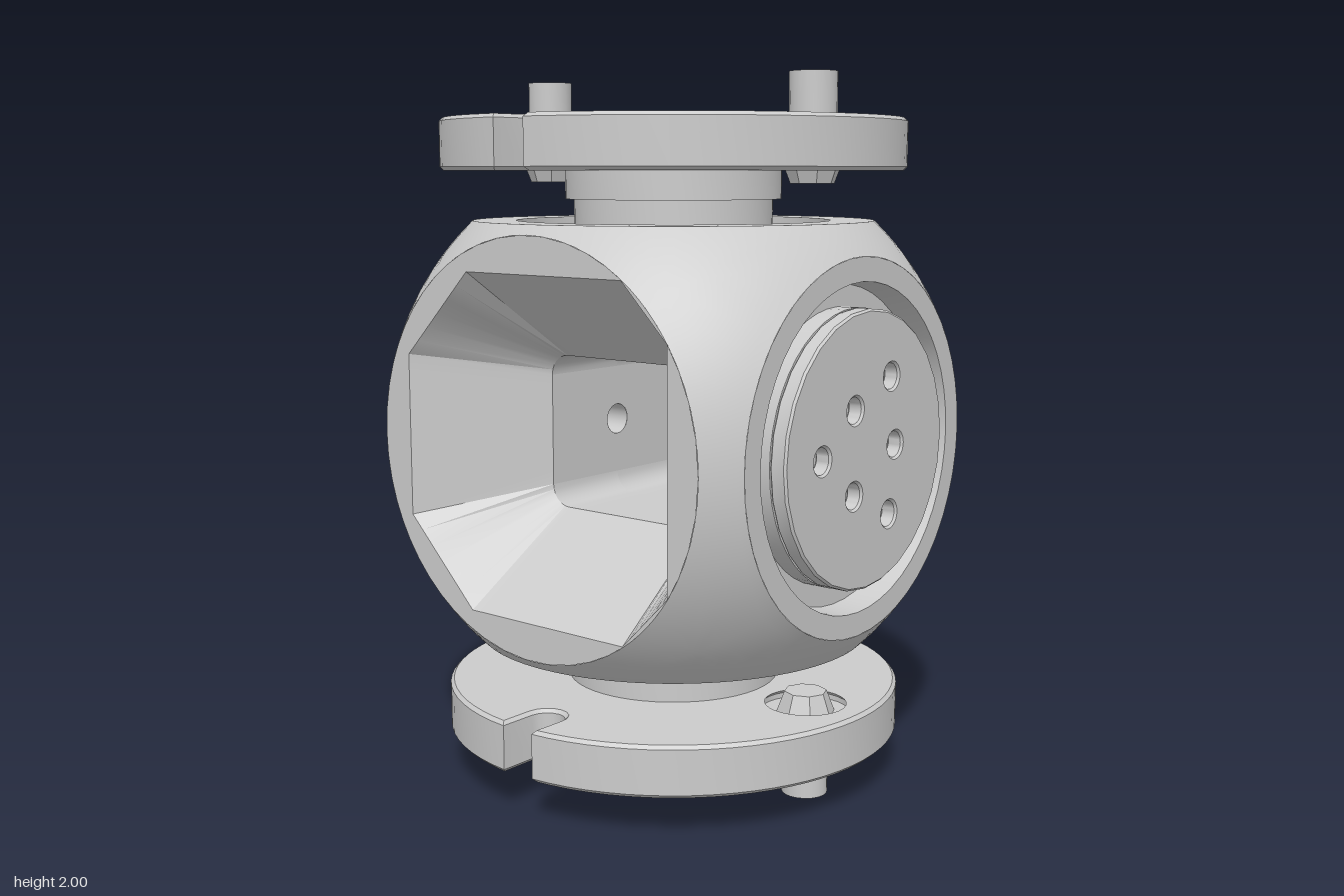
import * as THREE from 'three';
import { mergeGeometries, toCreasedNormals } from 'three/addons/utils/BufferGeometryUtils.js';

const R = 0.83; // radius of the ball the body is cut from
const material = new THREE.MeshStandardMaterial({ color: 0xcccccc, side: THREE.DoubleSide });
const V = (x, y, z) => new THREE.Vector3(x, y, z);
const capRadius = h => Math.sqrt(R * R - h * h);

// Rotations taking a local "up = y" frame to each of the six faces
const face = (x, y, z) => new THREE.Matrix4().makeBasis(x, y, z);
const FACES = {
  top: face(V(1, 0, 0), V(0, 1, 0), V(0, 0, 1)),
  bottom: face(V(1, 0, 0), V(0, -1, 0), V(0, 0, -1)),
  left: face(V(0, 0, 1), V(1, 0, 0), V(0, 1, 0)),
  right: face(V(0, 0, 1), V(-1, 0, 0), V(0, -1, 0)),
  front: face(V(1, 0, 0), V(0, 0, 1), V(0, -1, 0)),
  back: face(V(1, 0, 0), V(0, 0, -1), V(0, 1, 0)),
};
const HEIGHT = { top: 0.6, bottom: 0.6, left: 0.65, right: 0.65, front: 0.6, back: 0.6 };

// Screw hole pattern: u, v, radius
const HOLES = [
  [-0.11, -0.19, 0.095], [-0.11, 0.19, 0.095], [0.215, 0, 0.095],
  [0.065, -0.115, 0.065], [0.065, 0.115, 0.065], [-0.135, 0, 0.065],
];

function add(parent, name, geometry, x = 0, y = 0, z = 0) {
  const mesh = new THREE.Mesh(geometry, material);
  mesh.name = name;
  mesh.position.set(x, y, z);
  parent.add(mesh);
  return mesh;
}

// Surface through closed rings of equal point count
function loft(rings, skip = () => false) {
  const n = rings[0].length, index = [];
  for (let i = 0; i < rings.length - 1; i++)
    for (let j = 0; j < n; j++) {
      if (skip(i, j)) continue;
      const a = i * n + j, b = i * n + (j + 1) % n;
      index.push(a, b, a + n, b, b + n, a + n);
    }
  const geometry = new THREE.BufferGeometry().setFromPoints(rings.flat());
  geometry.setIndex(index);
  return geometry;
}

const lathe = (points, segments = 48) => toCreasedNormals(
  new THREE.LatheGeometry(points.map(p => new THREE.Vector2(...p)), segments), 0.6);

function circlePath(u, v, r) {
  return new THREE.Path().absarc(u, v, r, 0, Math.PI * 2, true);
}

// Flat plate between two heights, with holes
function plate(shape, holes, y0, y1, bevel) {
  shape.holes = holes.map(h => circlePath(...h));
  const geometry = new THREE.ExtrudeGeometry(shape, {
    depth: y1 - y0 - 2 * bevel, bevelEnabled: true, bevelThickness: bevel,
    bevelSize: bevel, bevelOffset: -bevel, bevelSegments: 1, curveSegments: 14,
  });
  geometry.translate(0, 0, y0 + bevel).rotateX(-Math.PI / 2);
  return toCreasedNormals(geometry, 0.6);
}

// Ball surface around one flat cap, out to the edge of its cube face
function ballPatch(h) {
  const rc = capRadius(h), rings = [];
  for (let i = 0; i <= 5; i++) {
    const ring = [];
    for (let j = 0; j < 64; j++) {
      const a = j / 64 * Math.PI * 2, c = Math.cos(a), s = Math.sin(a);
      const m = Math.max(Math.abs(c), Math.abs(s));
      const inner = V(rc * c, h, rc * s).normalize();
      const outer = V(c / m, 1, s / m).normalize();
      ring.push(inner.lerp(outer, i / 5).setLength(R));
    }
    rings.push(ring);
  }
  return loft(rings);
}

// Rectangle outline with rounded or chamfered corners
const K = 6, M = 8;
function outline(x0, x1, h, cutLeft, cutRight, round, y) {
  const corners = [0, 1, 2, 3].map(q => {
    const right = q === 0 || q === 3, c = right ? cutRight : cutLeft;
    const cx = right ? x1 - c : x0 + c, cz = (q < 2 ? 1 : -1) * (h - c);
    const at = t => V(cx + c * Math.cos((q + t) * Math.PI / 2), y, cz + c * Math.sin((q + t) * Math.PI / 2));
    return Array.from({ length: K + 1 }, (_, k) => round ? at(k / K) : at(0).lerp(at(1), k / K));
  });
  return corners.flatMap((points, q) => {
    const next = corners[(q + 1) % 4][0];
    const side = Array.from({ length: M - 1 }, (_, k) => points[K].clone().lerp(next, (k + 1) / M));
    return [...points, ...side];
  });
}

// Half of the through window: tunnel, funnel and flat rim
function windowHalf() {
  const mouth = outline(-0.47, 0.475, 0.47, 0.24, 0.15, false, 0.6);
  const rim = mouth.map(p => V(p.x, 0, p.z).setLength(capRadius(0.6)).setY(0.6));
  const throat = y => outline(-0.22, 0.38, 0.22, 0.06, 0.06, true, y);
  const perCorner = K + M;
  const sideWall = (i, j) => i === 0 && j % perCorner >= K && Math.floor(j / perCorner) % 2 === 1;
  return toCreasedNormals(loft([throat(0), throat(0.28), mouth, rim], sideWall), 0.5);
}

// Round plate with a slot in its rim
function notchedDisc(radius, sign) {
  const half = 0.053, a = Math.asin(half / radius), points = [];
  for (let i = 0; i <= 72; i++) {
    const t = -Math.PI / 2 + a + i / 72 * (Math.PI * 2 - 2 * a);
    points.push(new THREE.Vector2(radius * Math.cos(t), sign * radius * Math.sin(t)));
  }
  for (let i = 0; i <= 8; i++) {
    const t = Math.PI - i / 8 * Math.PI;
    points.push(new THREE.Vector2(half * Math.cos(t), sign * (-0.55 + half * Math.sin(t))));
  }
  return new THREE.Shape(points);
}

// Neck, flange, screws and pins of the top or bottom end
function flangeEnd(sign) {
  const g = new THREE.Group();
  add(g, 'neck', lathe([[capRadius(0.6), 0.6], [0.45, 0.6], [0.45, 0.53], [0.285, 0.53],
    [0.285, 0.66], [0.31, 0.66], [0.31, 0.745], [0, 0.745]]));
  const pins = [-0.485, 0.482];
  const holes = [...HOLES, [0, 0, 0.05], ...pins.map(x => [x, 0, 0.125])];
  add(g, 'flange', plate(notchedDisc(0.663, sign), holes, 0.74, 0.885, 0.01));
  for (const [u, v, r] of HOLES)
    add(g, 'socketScrew', lathe([[r * 0.85, 0], [r * 0.85, 0.045], [r * 0.55, 0.045],
      [r * 0.5, 0.015], [0, 0.005]], 6), u, 0.745, v);
  for (const x of pins) {
    add(g, 'pinSeat', new THREE.CylinderGeometry(0.126, 0.126, 0.1, 24), x, 0.815, 0);
    add(g, 'pin', lathe([[0.065, 0.75], [0.065, 1], [0.033, 1], [0.033, 0.93], [0, 0.92]], 20), x);
    add(g, 'pinHead', toCreasedNormals(new THREE.CylinderGeometry(0.085, 0.06, 0.065, 8), 0.5), x, 0.738, 0);
  }
  return g;
}

// Round port on the left or right side
function sidePort(profile, radius, top, extraHoles) {
  const g = new THREE.Group();
  add(g, 'portSeat', lathe([[capRadius(0.65), 0.65], ...profile]));
  const shape = new THREE.Shape().absarc(0, 0, radius, 0, Math.PI * 2);
  const holes = HOLES.map(([u, v]) => [u, v, 0.036]);
  add(g, 'portDisc', plate(shape, [...holes, ...extraHoles], top - 0.05, top, 0.006));
  return g;
}

// Inner tunnel wall with a cable hole and its passage
function tunnelWall(parent, x, end) {
  const shape = new THREE.Shape([[-0.28, -0.16], [0.28, -0.16], [0.28, 0.16], [-0.28, 0.16]]
    .map(p => new THREE.Vector2(...p)));
  shape.holes.push(circlePath(0, 0, 0.045));
  const side = x < 0 ? 1 : -1;
  add(parent, 'tunnelWall', new THREE.ShapeGeometry(shape).rotateY(side * Math.PI / 2), x);
  const bore = new THREE.CylinderGeometry(0.045, 0.045, Math.abs(end - x), 20, 1, true);
  add(parent, 'cablePassage', bore.rotateZ(Math.PI / 2), (x + end) / 2);
}

export function createModel() {
  const model = new THREE.Group();
  model.name = 'jointModule';
  const core = new THREE.Group();
  core.name = 'core';
  core.position.y = 1;
  model.add(core);

  // Ball-shaped shell
  const patches = Object.keys(FACES).map(k => ballPatch(HEIGHT[k]).applyMatrix4(FACES[k]));
  add(core, 'shell', toCreasedNormals(mergeGeometries(patches), 0.7));

  // Window through the body
  for (const k of ['front', 'back']) add(core, k + 'Window', windowHalf().applyMatrix4(FACES[k]));
  tunnelWall(core, -0.22, -0.64);
  tunnelWall(core, 0.38, 0.625);

  // Ends and side ports
  const ends = {
    top: flangeEnd(1),
    bottom: flangeEnd(-1),
    left: sidePort([[0.45, 0.65], [0.44, 0.57], [0.38, 0.57], [0.38, 0.626], [0, 0.626]], 0.38, 0.675, []),
    right: sidePort([[0.46, 0.65], [0.46, 0.6], [0.41, 0.6], [0.4, 0.52], [0.29, 0.52],
      [0.29, 0.636], [0.045, 0.636]], 0.29, 0.685, [[0, 0, 0.045]]),
  };
  for (const [k, group] of Object.entries(ends)) {
    group.name = k + 'Connector';
    group.quaternion.setFromRotationMatrix(FACES[k]);
    core.add(group);
  }
  return model;
}
